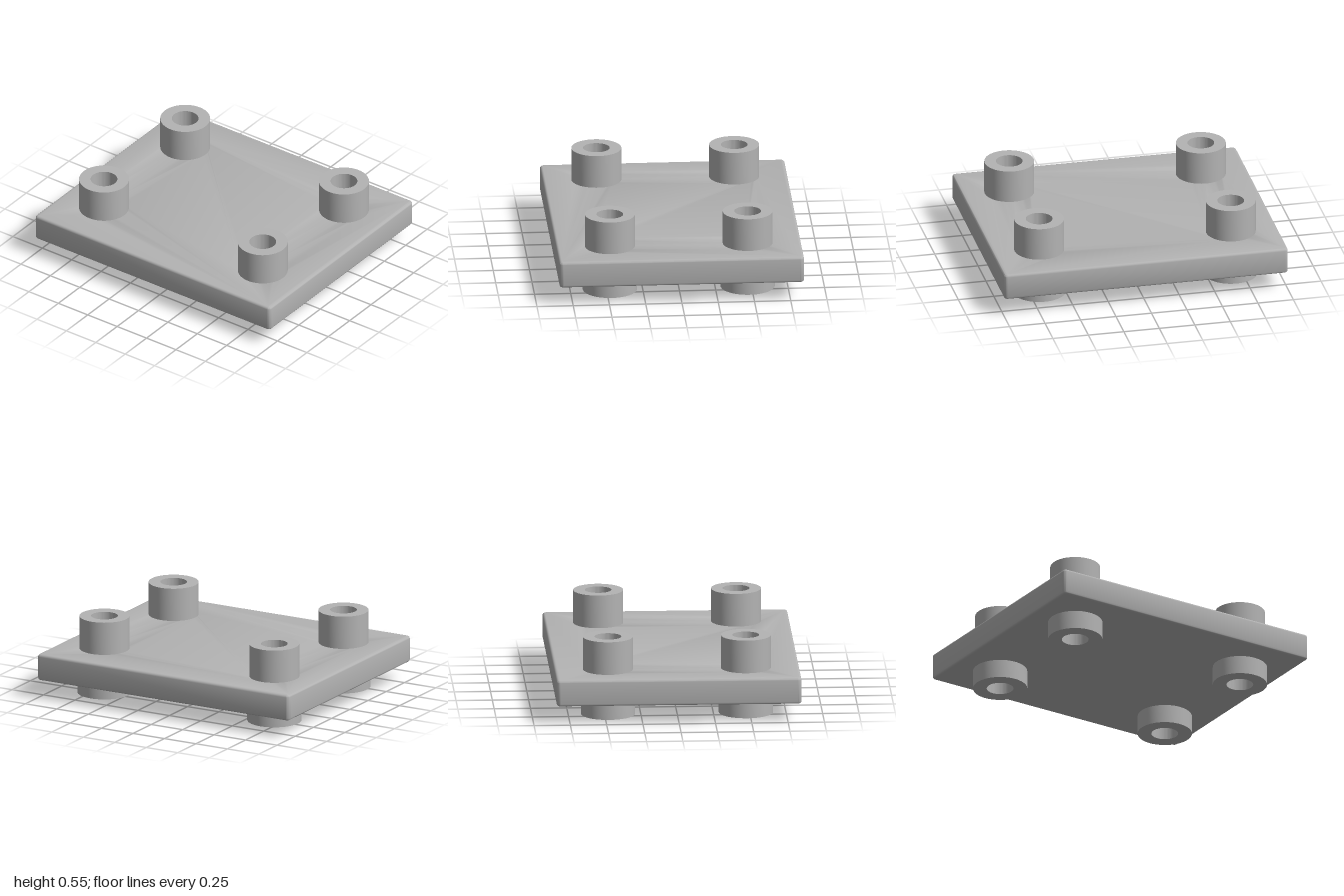
import * as THREE from 'three';
import { toCreasedNormals } from 'three/addons/utils/BufferGeometryUtils.js';

const W = 1.686, D = 2, BOTTOM = 0.13, TOP = 0.315, BEVEL = 0.018;
const POST_X = 0.475, POST_Z = 0.675;

// Rectangle outline with small rounded corners
function roundedRect(w, d, r) {
  const s = new THREE.Shape();
  const x = w / 2, y = d / 2;
  s.absarc(x - r, y - r, r, 0, Math.PI / 2);
  s.absarc(-x + r, y - r, r, Math.PI / 2, Math.PI);
  s.absarc(-x + r, -y + r, r, Math.PI, Math.PI * 1.5);
  s.absarc(x - r, -y + r, r, Math.PI * 1.5, Math.PI * 2);
  s.closePath();
  return s;
}

export function createModel() {
  const model = new THREE.Group();
  model.name = 'mountingPlate';
  const grey = new THREE.MeshStandardMaterial({ color: 0xb3b3b3 });
  grey.name = 'grey';

  const corners = [];
  for (const sx of [-1, 1]) for (const sz of [-1, 1]) corners.push([sx * POST_X, sz * POST_Z]);

  // Plate with softened edges; its openings are filled by the bushings
  const outline = roundedRect(W, D, 0.026);
  for (const [x, z] of corners) {
    const hole = new THREE.Path();
    hole.absarc(x, z, 0.13, 0, Math.PI * 2, true);
    outline.holes.push(hole);
  }
  const plateGeometry = new THREE.ExtrudeGeometry(outline, {
    depth: TOP - BOTTOM - 2 * BEVEL, bevelThickness: BEVEL, bevelSize: BEVEL,
    bevelOffset: -BEVEL, bevelSegments: 4, curveSegments: 16,
  });
  plateGeometry.rotateX(-Math.PI / 2).translate(0, BOTTOM + BEVEL, 0);
  const plate = new THREE.Mesh(toCreasedNormals(plateGeometry, 0.6), grey);
  plate.name = 'plate';
  model.add(plate);

  // Hollow bushing: wide foot below, slimmer post above, bore right through
  const profile = [
    [0.092, 0], [0.187, 0], [0.187, BOTTOM + 0.01], [0.172, BOTTOM + 0.01],
    [0.172, 0.546], [0.092, 0.546], [0.092, 0],
  ].map(([r, y]) => new THREE.Vector2(r, y));
  const bushingGeometry = toCreasedNormals(new THREE.LatheGeometry(profile, 64), 0.6);
  corners.forEach(([x, z], i) => {
    const bushing = new THREE.Mesh(bushingGeometry, grey);
    bushing.name = 'bushing' + (i + 1);
    bushing.position.set(x, 0, z);
    model.add(bushing);
  });
  return model;
}
